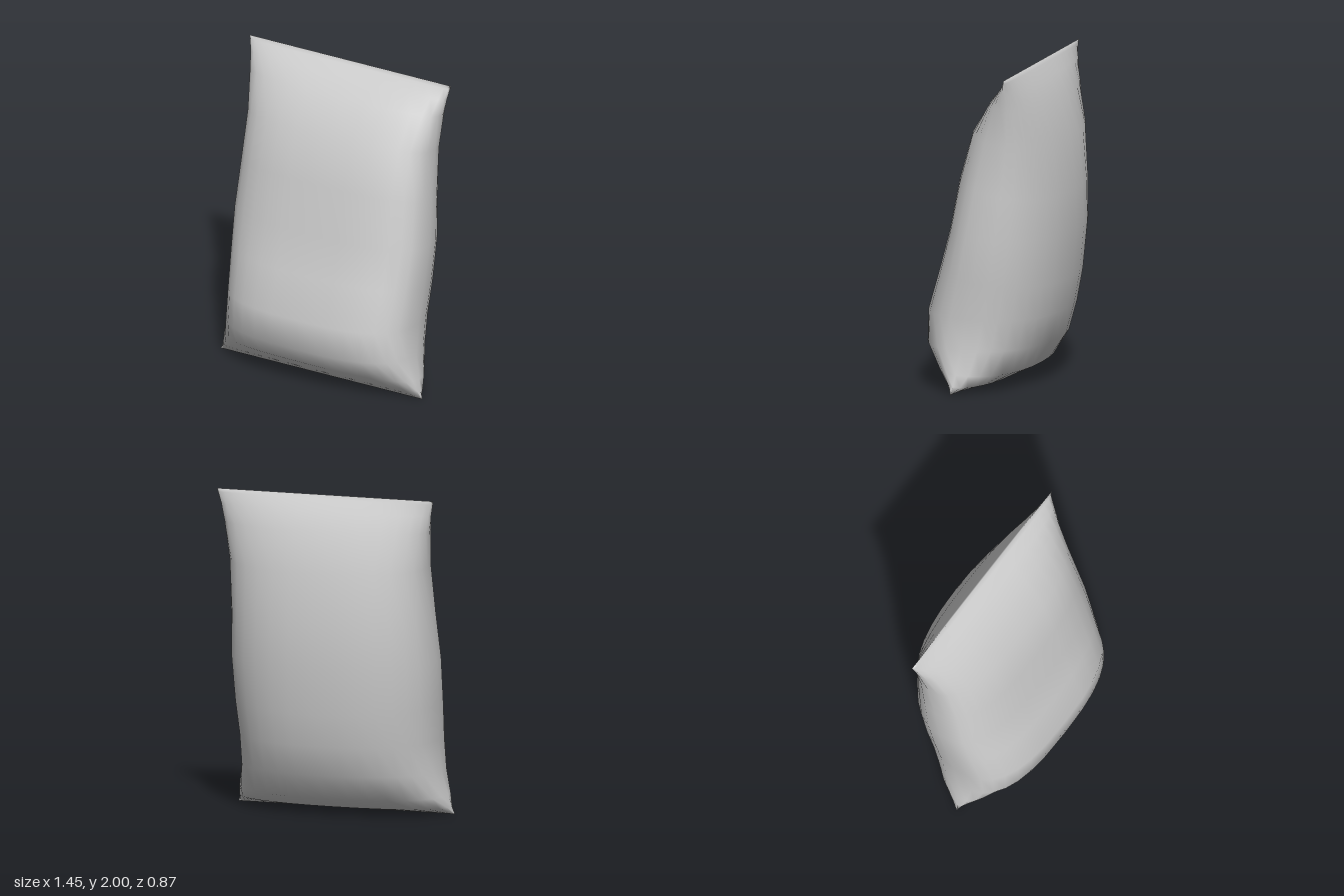
import * as THREE from 'three';
import { mergeVertices } from 'three/addons/utils/BufferGeometryUtils.js';

// Sections from top seam to bottom seam: [halfWidth, frontZ, frontY, backZ, backY]
const SECTIONS = [
  [0.725, -0.205, 2.0, -0.205, 2.0],
  [0.72, -0.183, 1.98, -0.219, 1.975],
  [0.705, -0.115, 1.92, -0.265, 1.9],
  [0.685, -0.02, 1.83, -0.32, 1.78],
  [0.655, 0.127, 1.62, -0.4, 1.53],
  [0.66, 0.217, 1.32, -0.43, 1.2],
  [0.675, 0.278, 1.0, -0.437, 0.95],
  [0.665, 0.35, 0.75, -0.41, 0.65],
  [0.65, 0.435, 0.48, -0.375, 0.45],
  [0.655, 0.435, 0.28, -0.32, 0.26],
  [0.69, 0.32, 0.14, -0.21, 0.1],
  [0.708, 0.23, 0.07, -0.06, 0.03],
  [0.725, 0.14, 0.0, 0.14, 0.0],
];
const SIDES = 32;
// Superellipse exponents: the front panel is squarer than the back
const FRONT_ROUNDNESS = 2.7;
const BACK_ROUNDNESS = 2.25;

const power = (v, n) => (Math.abs(v) < 1e-9 ? 0 : Math.sign(v) * Math.abs(v) ** (2 / n));

// Loops whose sides follow a straight slanted line and which pinch flat at both seams
function pillowGeometry() {
  const positions = [];
  const index = [];
  SECTIONS.forEach(([w, fz, fy, bz, by], i) => {
    const sideY = (fy + by) / 2;
    const sideZ = THREE.MathUtils.lerp(0.14, -0.205, sideY / 2);
    for (let j = 0; j < SIDES; j++) {
      const angle = (j / SIDES) * Math.PI * 2;
      const isFront = j < SIDES / 2;
      const n = isFront ? FRONT_ROUNDNESS : BACK_ROUNDNESS;
      const depth = Math.abs(power(Math.sin(angle), n)); // 0 at the sides, 1 mid panel
      positions.push(
        w * power(Math.cos(angle), n),
        THREE.MathUtils.lerp(sideY, isFront ? fy : by, depth),
        THREE.MathUtils.lerp(sideZ, isFront ? fz : bz, depth),
      );
      if (i === SECTIONS.length - 1) continue;
      const a = i * SIDES + j;
      const b = i * SIDES + ((j + 1) % SIDES);
      index.push(a, b, a + SIDES, b, b + SIDES, a + SIDES);
    }
  });
  // Put both panels' seam points at the same even spacing so they coincide
  for (const i of [0, SECTIONS.length - 1]) {
    for (let j = 0; j < SIDES; j++) {
      const angle = (j / SIDES) * Math.PI * 2;
      positions[(i * SIDES + j) * 3] = SECTIONS[i][0] * power(Math.cos(angle), 2.45);
    }
  }
  const geometry = new THREE.BufferGeometry();
  geometry.setAttribute('position', new THREE.Float32BufferAttribute(positions, 3));
  geometry.setIndex(index);
  // Join front and back along the seams so shading runs smoothly over them
  const joined = mergeVertices(geometry, 1e-4);
  joined.computeVertexNormals();
  return joined;
}

export function createModel() {
  const model = new THREE.Group();
  model.name = 'pillowBag';
  const material = new THREE.MeshStandardMaterial({ color: 0xcccccc });
  const bag = new THREE.Mesh(pillowGeometry(), material);
  bag.name = 'bagBody';
  model.add(bag);
  return model;
}
